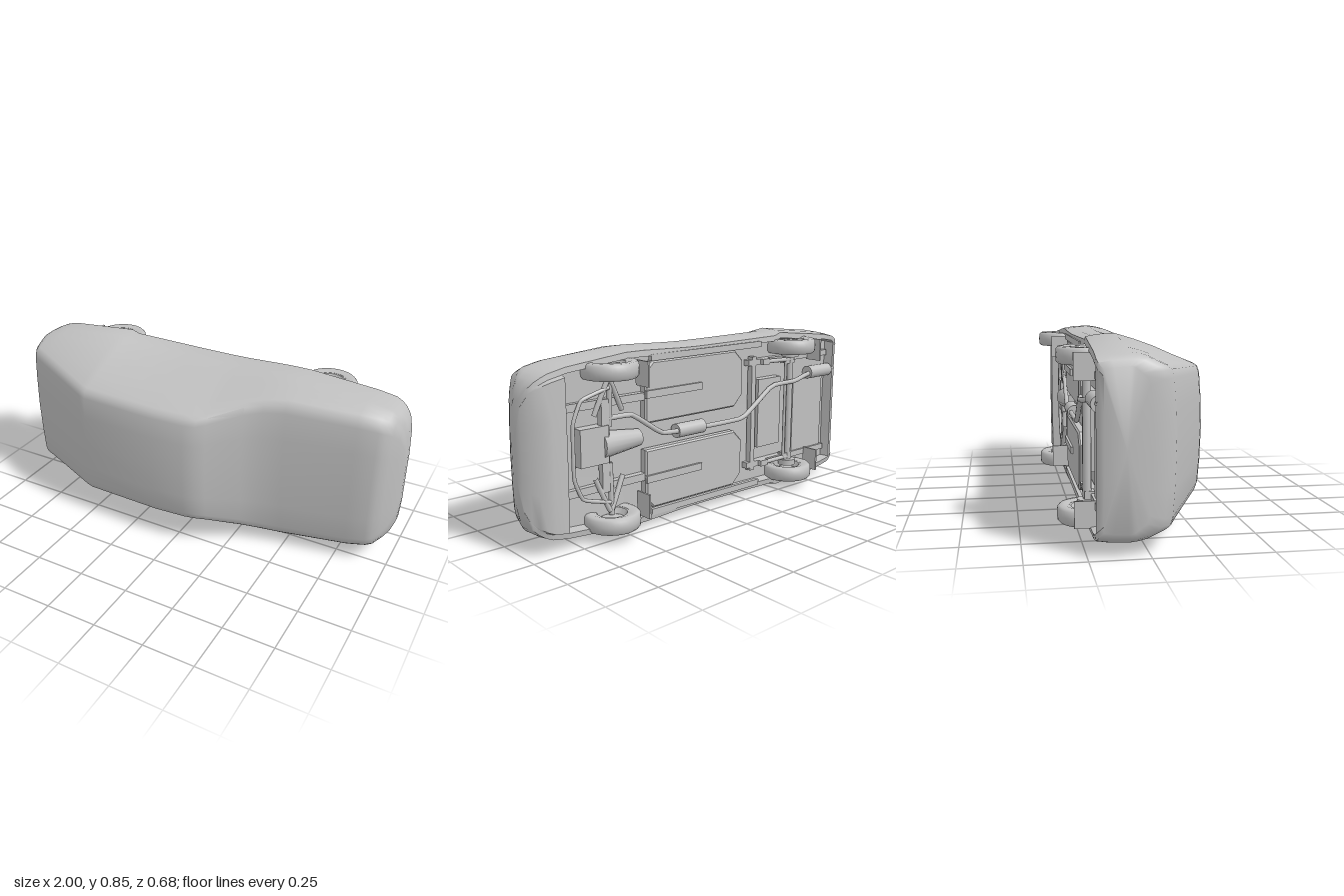
import * as THREE from 'three';
import { toCreasedNormals } from 'three/addons/utils/BufferGeometryUtils.js';

const grey = new THREE.MeshStandardMaterial({ color: 0xc0c0c0 });
grey.name = 'plain grey';

// The car lies on its side: length along x, width along y, roof towards +z.
// Body stations: [x, top z, top half width, belt half width, bottom z]
const STATIONS = [
  [-1.0, 0.0, 0.3, 0.325, -0.19],
  [-0.985, 0.065, 0.32, 0.35, -0.21],
  [-0.96, 0.1, 0.325, 0.368, -0.216],
  [-0.945, 0.108, 0.324, 0.374, -0.216],
  [-0.88, 0.138, 0.318, 0.388, -0.215],
  [-0.53, 0.308, 0.293, 0.425, -0.205],
  [-0.49, 0.322, 0.29, 0.411, -0.205],
  [-0.1, 0.335, 0.287, 0.406, -0.206],
  [0.06, 0.325, 0.286, 0.405, -0.207],
  [0.12, 0.31, 0.288, 0.406, -0.208],
  [0.16, 0.283, 0.298, 0.407, -0.208],
  [0.3, 0.183, 0.345, 0.413, -0.21],
  [0.38, 0.145, 0.362, 0.416, -0.21],
  [0.48, 0.118, 0.37, 0.416, -0.21],
  [0.8, 0.068, 0.355, 0.385, -0.22],
  [0.82, 0.064, 0.353, 0.381, -0.222],
  [0.89, 0.049, 0.344, 0.367, -0.226],
  [0.92, 0.034, 0.335, 0.353, -0.222],
  [0.945, 0.0, 0.312, 0.336, -0.212],
  [0.97, -0.04, 0.275, 0.308, -0.195],
  [0.99, -0.08, 0.2, 0.25, -0.168],
  [1.0, -0.11, 0.09, 0.13, -0.143],
];

// Underside: flush at the tail, recessed along the floor, bulging down under the nose
function recessAt(x) {
  if (x < -0.95) return 0;
  if (x < 0.81) return 0.045;
  return -0.028 * THREE.MathUtils.clamp((0.98 - x) / 0.09, 0, 1);
}

// One closed cross-section, from top centre down the +y side and back up the -y side
function section([x, top, r, w, bottom]) {
  const recess = recessAt(x);
  const k = Math.min(1, (top - bottom) / 0.2);
  const edge = top - 0.045 * k;
  const belt = Math.min(-0.08, (top + bottom) / 2);
  const side = (t, bulge) => [r + (w - r) * t + bulge * k, edge + (belt - edge) * t];
  const half = [
    [0, top], [r * 0.5, top - 0.005 * k], [r * 0.85, top - 0.013 * k],
    [r * 0.95, top - 0.023 * k], [r, edge],
    side(0.25, 0.004), side(0.5, 0.009), side(0.75, 0.007),
    [w, belt], [w * 0.99, belt + (bottom - belt) * 0.6], [w * 0.967, bottom],
    [w * 0.9, bottom - 0.004], [w * 0.88, bottom + recess], [w * 0.45, bottom + recess * 1.05],
    [0, bottom + recess * 1.1],
  ];
  const mirror = half.slice(1, -1).reverse().map(([y, z]) => [-y, z]);
  return [...half, ...mirror].map(([y, z]) => [x, y, z]);
}

function bodyGeometry() {
  const rings = STATIONS.map(section);
  const n = rings[0].length;
  const pos = rings.flat(2);
  const idx = [];
  for (let i = 0; i < rings.length - 1; i++) {
    for (let j = 0; j < n; j++) {
      const a = i * n + j, b = i * n + (j + 1) % n;
      idx.push(a, a + n, b, b, a + n, b + n);
    }
  }
  // tail and nose caps
  const last = (rings.length - 1) * n, c = pos.length / 3;
  pos.push(-1, 0, -0.1, 1, 0, -0.125);
  for (let j = 0; j < n; j++) {
    const k = (j + 1) % n;
    idx.push(c, j, k, c + 1, last + k, last + j);
  }
  const g = new THREE.BufferGeometry();
  g.setAttribute('position', new THREE.Float32BufferAttribute(pos, 3));
  g.setIndex(idx);
  return toCreasedNormals(g, 0.75);
}

export function createModel() {
  const model = new THREE.Group();
  model.name = 'car';
  const car = new THREE.Group();
  car.name = 'carOnSide';
  car.position.y = 0.425;
  model.add(car);

  const add = (name, geometry, x = 0, y = 0, z = 0, parent = car) => {
    const m = new THREE.Mesh(geometry, grey);
    m.name = name;
    m.position.set(x, y, z);
    parent.add(m);
    return m;
  };
  const box = (name, sx, sy, sz, x, y, z) => add(name, new THREE.BoxGeometry(sx, sy, sz), x, y, z);
  const tube = (name, points, r) => {
    const path = new THREE.CatmullRomCurve3(points.map(p => new THREE.Vector3(...p)), false, 'catmullrom', 0.15);
    return add(name, new THREE.TubeGeometry(path, 40, r, 10));
  };

  add('bodyShell', bodyGeometry());

  // Wheels: turned tyre, dished rim and a ring of studs; the lathe axis is already y
  const turned = (profile, sides, crease) =>
    toCreasedNormals(new THREE.LatheGeometry(profile.map(p => new THREE.Vector2(...p)), sides), crease);
  const tyre = turned([
    [0.078, -0.032], [0.1, -0.038], [0.12, -0.036], [0.129, -0.026], [0.131, 0],
    [0.129, 0.026], [0.12, 0.036], [0.1, 0.038], [0.078, 0.032], [0.078, -0.032],
  ], 36, 0.8);
  const rim = turned([
    [0, -0.012], [0.03, -0.012], [0.055, -0.004], [0.07, -0.03], [0.082, -0.032],
    [0.082, 0.032], [0.072, 0.03], [0.06, 0.01], [0.035, 0.024], [0, 0.024],
  ], 30, 0.6);
  for (const [label, x] of [['front', 0.57], ['rear', -0.607]]) {
    for (const s of [1, -1]) {
      const wheel = new THREE.Group();
      wheel.name = label + 'Wheel';
      wheel.position.set(x, s * 0.34, -0.209);
      if (s < 0) wheel.rotation.x = Math.PI;
      car.add(wheel);
      add('tyre', tyre, 0, 0, 0, wheel);
      add('rim', rim, 0, 0, 0, wheel);
      for (let i = 0; i < 10; i++) {
        const a = i * Math.PI / 5;
        add('rimStud', new THREE.CylinderGeometry(0.006, 0.006, 0.012, 8),
          Math.cos(a) * 0.048, 0.018, Math.sin(a) * 0.048, wheel);
      }
      // mud flap behind each wheel
      box(label + 'MudFlap', 0.01, 0.115, 0.09, x - 0.162, s * 0.305, -0.237);
    }
  }

  for (const s of [1, -1]) {
    // Floor pans with chamfered rear corners and long ribs
    const pan = new THREE.Shape([
      [0.36, 0.07], [-0.2, 0.07], [-0.25, 0.12], [-0.25, 0.29], [-0.2, 0.34], [0.32, 0.34], [0.36, 0.3],
    ].map(([x, y]) => new THREE.Vector2(x, s * y)));
    add('floorPan', new THREE.ExtrudeGeometry(pan, {
      depth: 0.03, bevelSize: 0.008, bevelThickness: 0.008, bevelSegments: 1,
    }), 0, 0, -0.197);
    box('floorRib', 0.34, 0.035, 0.014, 0.2, s * 0.2, -0.21);
    box('frontRail', 0.5, 0.035, 0.035, 0.57, s * 0.19, -0.178);
    box('rearRail', 0.62, 0.03, 0.035, -0.62, s * 0.27, -0.178);
    box('sill', 0.72, 0.03, 0.02, -0.02, s * 0.365, -0.205);
    // Suspension
    box('springHanger', 0.05, 0.03, 0.035, -0.42, s * 0.27, -0.2);
    box('axleBracket', 0.06, 0.04, 0.045, -0.6, s * 0.265, -0.2);
    tube('trailingArm', [[-0.42, s * 0.27, -0.205], [-0.61, s * 0.265, -0.215]], 0.011);
    tube('wishbone', [[0.65, s * 0.14, -0.2], [0.58, s * 0.3, -0.215], [0.5, s * 0.15, -0.2]], 0.012);
    tube('driveShaft', [[0.57, s * 0.08, -0.2], [0.57, s * 0.32, -0.209]], 0.013);
    add('brakeDrum', new THREE.CylinderGeometry(0.045, 0.045, 0.03, 20), -0.607, s * 0.295, -0.209);
  }

  // Rear axle, tank and boot floor
  tube('rearAxle', [[-0.607, -0.32, -0.209], [-0.607, 0.32, -0.209]], 0.019);
  tube('stabiliserBar', [[-0.57, -0.27, -0.215], [-0.57, 0.27, -0.215]], 0.008);
  box('fuelTank', 0.17, 0.36, 0.045, -0.46, 0, -0.182);
  box('crossMember', 0.03, 0.6, 0.03, -0.35, 0, -0.18);
  box('bootFloor', 0.24, 0.4, 0.02, -0.79, -0.06, -0.175);

  // Engine, gearbox and front frame
  box('engineSump', 0.15, 0.17, 0.06, 0.66, 0.01, -0.19);
  const gearbox = add('gearbox', new THREE.CylinderGeometry(0.065, 0.04, 0.22, 16), 0.5, 0, -0.175);
  gearbox.rotation.z = -Math.PI / 2;
  box('frontCrossMember', 0.04, 0.42, 0.03, 0.6, 0, -0.2);
  tube('frontBar', [
    [0.58, -0.26, -0.215], [0.72, -0.22, -0.21], [0.765, -0.12, -0.21],
    [0.765, 0.12, -0.21], [0.72, 0.22, -0.21], [0.58, 0.26, -0.215],
  ], 0.009);

  // Exhaust
  tube('exhaustPipe', [
    [0.62, 0.12, -0.2], [0.45, 0.12, -0.208], [0.28, 0.01, -0.213], [0.1, 0, -0.215], [-0.25, 0, -0.215],
    [-0.46, 0.14, -0.22], [-0.62, 0.15, -0.237], [-0.76, 0.17, -0.21], [-0.98, 0.18, -0.205],
  ], 0.012);
  for (const [name, x, y] of [['middleSilencer', 0.1, 0], ['rearSilencer', -0.85, 0.175]]) {
    const silencer = add(name, new THREE.CylinderGeometry(0.034, 0.034, 0.17, 20), x, y, -0.2);
    silencer.rotation.z = Math.PI / 2;
  }
  return model;
}
